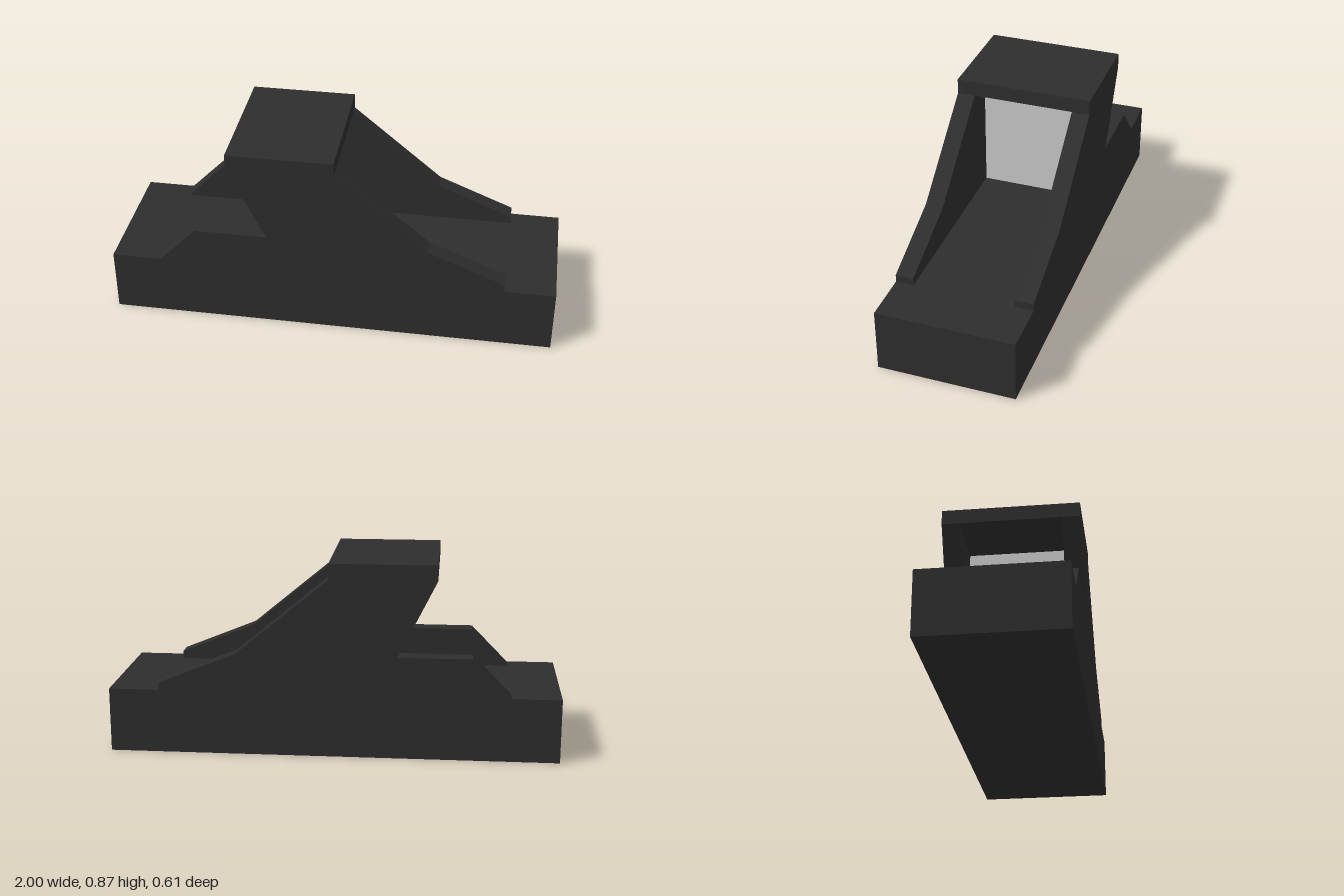
import * as THREE from 'three';

export function createModel() {
  const model = new THREE.Group();
  model.name = 'model';

  const dark = new THREE.MeshStandardMaterial({ color: 0x2d2d2d });
  dark.name = 'charcoal';
  const pale = new THREE.MeshStandardMaterial({ color: 0xc9c9c9 });
  pale.name = 'pale grey';

  const halfDepth = 0.307, wall = 0.08, baseTop = 0.288, plateBottom = 0.803;

  // Box given by its x, y and z ranges
  function box(name, [x0, x1], [y0, y1], [z0, z1], material) {
    const mesh = new THREE.Mesh(new THREE.BoxGeometry(x1 - x0, y1 - y0, z1 - z0), material);
    mesh.position.set((x0 + x1) / 2, (y0 + y1) / 2, (z0 + z1) / 2);
    mesh.name = name;
    model.add(mesh);
  }

  // Long base block and the flat top plate
  box('base', [-1, 1], [0, baseTop], [-halfDepth, halfDepth], dark);
  box('topPlate', [-0.453, 0.018], [plateBottom, 0.871], [-halfDepth, halfDepth], dark);

  // Upright panel between the side walls
  const inner = halfDepth - wall;
  box('innerPanel', [-0.15, -0.11], [baseTop, plateBottom], [-inner, inner], pale);

  // Matching side walls that carry the plate
  const outline = new THREE.Shape([
    [-0.78, baseTop], [0.775, baseTop], [0.775, 0.322], [0.43, 0.462],
    [0.018, plateBottom], [-0.453, plateBottom], [-0.283, 0.462], [-0.61, 0.462],
  ].map(([x, y]) => new THREE.Vector2(x, y)));
  const wallGeometry = new THREE.ExtrudeGeometry(outline, { depth: wall, bevelEnabled: false });
  for (const [name, z] of [['frontWall', inner], ['backWall', -halfDepth]]) {
    const mesh = new THREE.Mesh(wallGeometry, dark);
    mesh.position.z = z;
    mesh.name = name;
    model.add(mesh);
  }

  return model;
}
